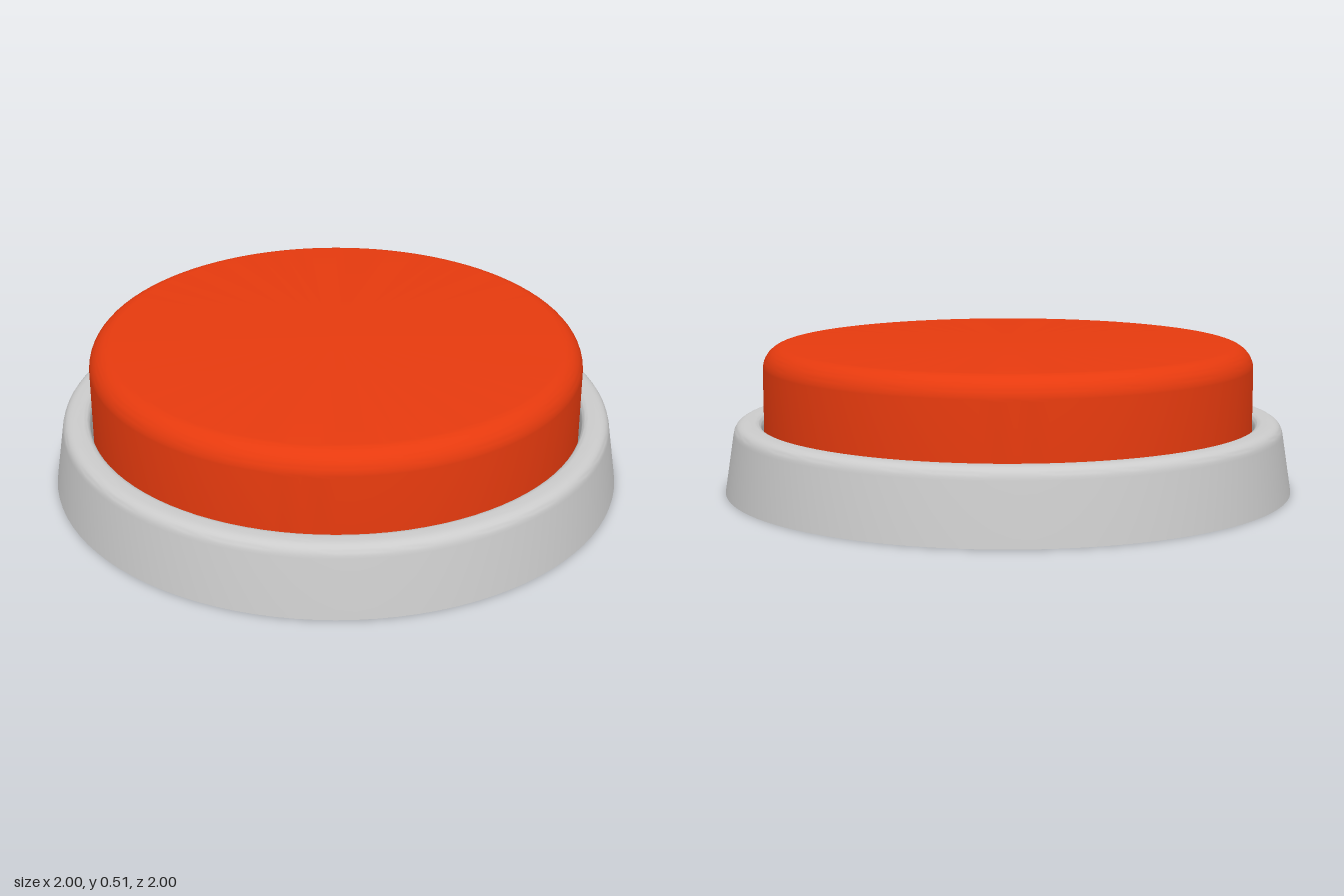
import * as THREE from 'three';
import { toCreasedNormals } from 'three/addons/utils/BufferGeometryUtils.js';

const SEGMENTS = 96;

// Revolve a profile about y, smooth on curves and sharp at corners
function turned(name, color, profile) {
  const lathe = new THREE.LatheGeometry(profile.getPoints(8), SEGMENTS);
  const geometry = toCreasedNormals(lathe, Math.PI / 6);
  const mesh = new THREE.Mesh(geometry, new THREE.MeshStandardMaterial({ color }));
  mesh.name = name;
  return mesh;
}

export function createModel() {
  const model = new THREE.Group();
  model.name = 'pushButton';

  // Tapered housing with a rounded rim and a recess for the cap
  const housing = new THREE.Path()
    .moveTo(0, 0)
    .lineTo(1, 0)
    .lineTo(0.968, 0.205)
    .quadraticCurveTo(0.962, 0.245, 0.92, 0.245)
    .lineTo(0.9, 0.245)
    .quadraticCurveTo(0.87, 0.245, 0.87, 0.215)
    .lineTo(0.87, 0.08)
    .lineTo(0, 0.08);
  model.add(turned('housing', 0xcccccc, housing));

  // Red cap with a filleted top edge, seated in the recess
  const cap = new THREE.Path()
    .moveTo(0, 0.085)
    .lineTo(0.862, 0.085)
    .lineTo(0.862, 0.43)
    .absarc(0.782, 0.43, 0.08, 0, Math.PI / 2, false)
    .lineTo(0, 0.51);
  model.add(turned('cap', 0xe63a0e, cap));

  return model;
}
